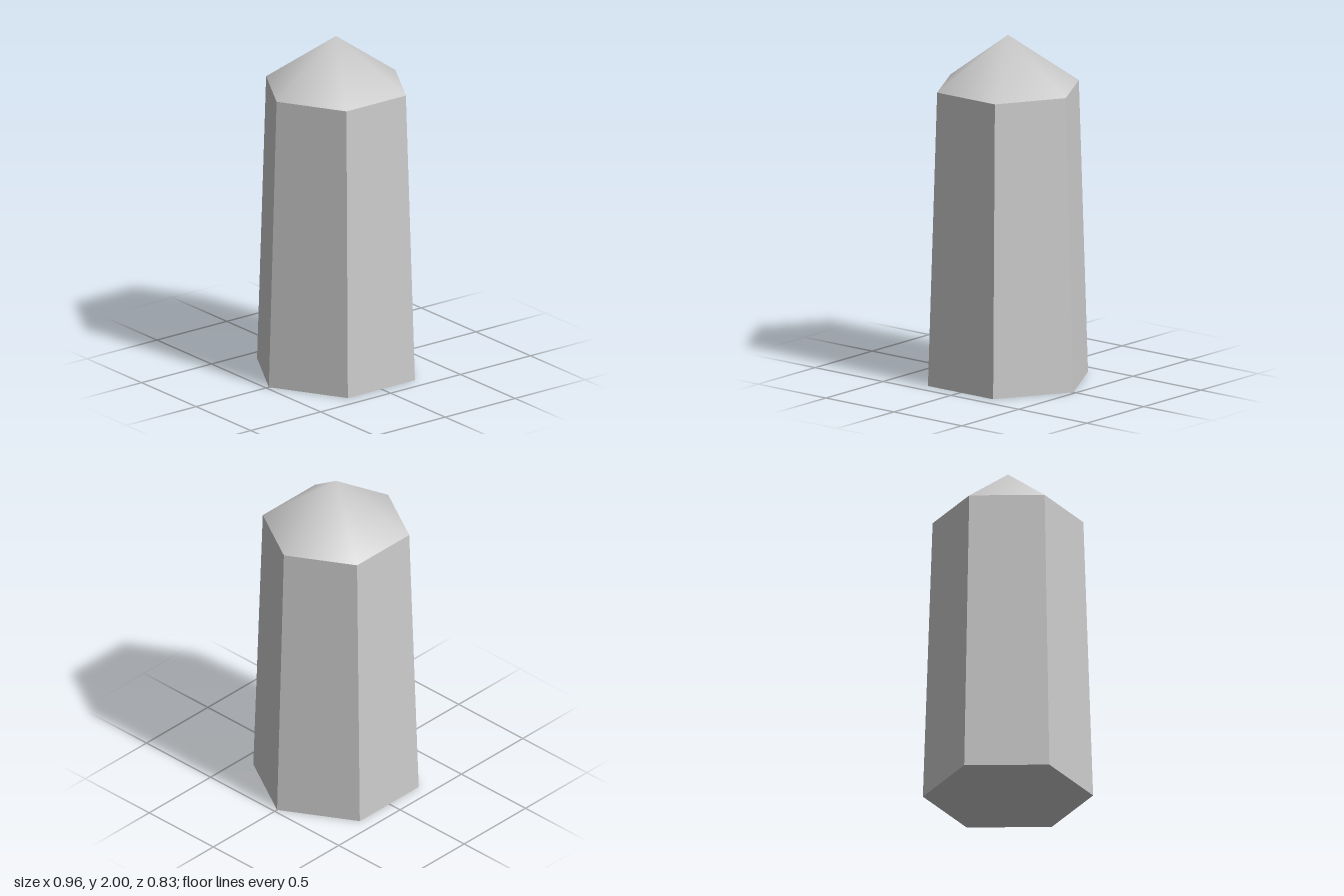
import * as THREE from 'three';
import { mergeVertices } from 'three/addons/utils/BufferGeometryUtils.js';

const SIDES = 6, START = Math.PI / 6; // puts corners on the x axis
const BASE_R = 0.48, SHOULDER_R = 0.425, SHOULDER_Y = 1.7, TIP_Y = 2;

export function createModel() {
  const group = new THREE.Group();
  group.name = 'hexagonalCrystal';

  // Tapered six-sided shaft with crisp faces and a closed bottom
  const shaft = new THREE.Mesh(
    new THREE.CylinderGeometry(SHOULDER_R, BASE_R, SHOULDER_Y, SIDES, 1, false, START),
    new THREE.MeshStandardMaterial({ color: 0xcccccc, flatShading: true })
  );
  shaft.name = 'shaft';
  shaft.position.y = SHOULDER_Y / 2;
  group.add(shaft);

  // Pointed cap, shaded smoothly across its facets and apex
  const height = TIP_Y - SHOULDER_Y;
  let cone = new THREE.ConeGeometry(SHOULDER_R, height, SIDES, 1, true, START);
  cone.deleteAttribute('normal');
  cone.deleteAttribute('uv');
  cone = mergeVertices(cone);
  cone.computeVertexNormals();
  const tip = new THREE.Mesh(cone, new THREE.MeshStandardMaterial({ color: 0xcccccc }));
  tip.name = 'tip';
  tip.position.y = SHOULDER_Y + height / 2;
  group.add(tip);

  return group;
}
